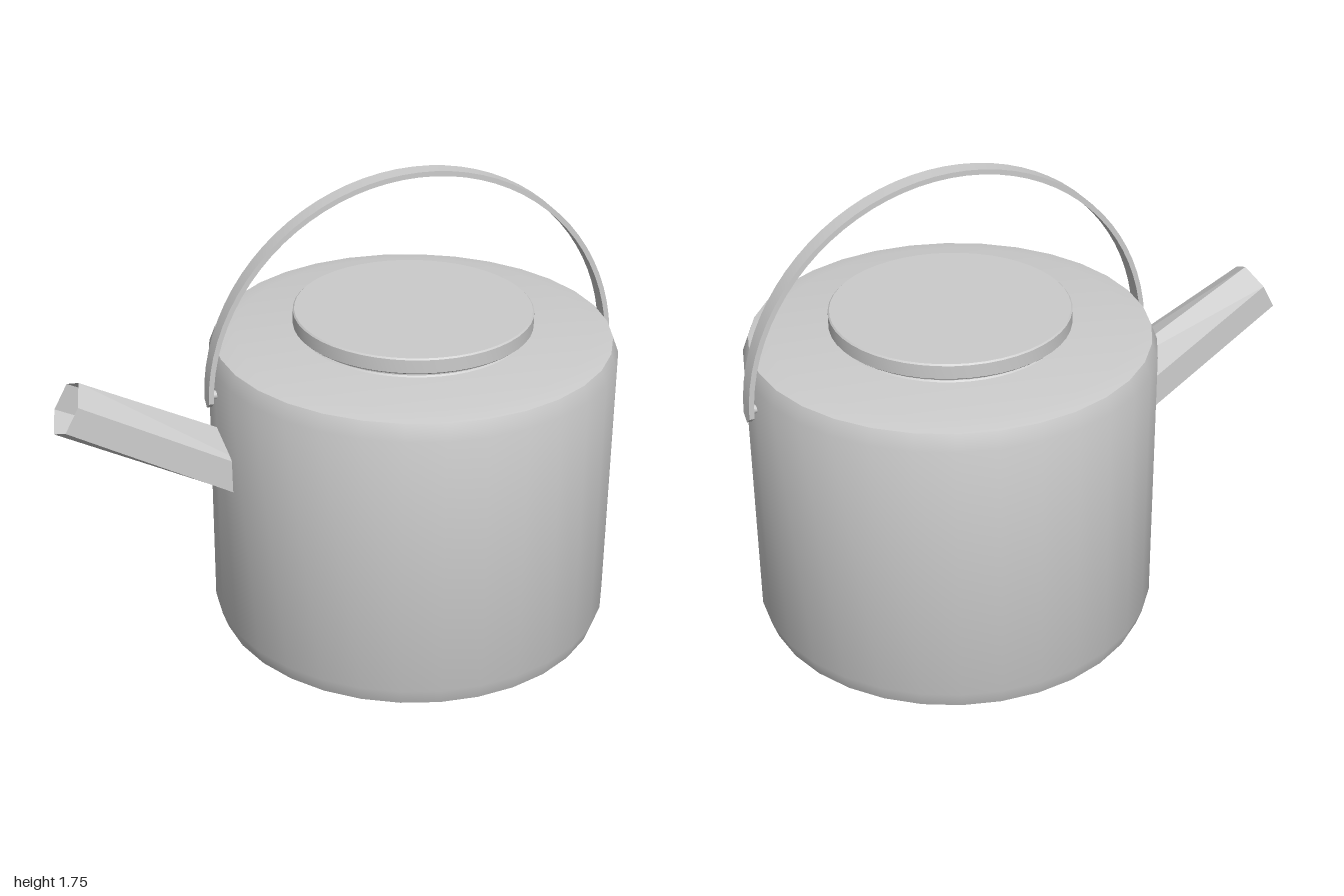
import * as THREE from 'three';
import { toCreasedNormals } from 'three/addons/utils/BufferGeometryUtils.js';

const grey = new THREE.MeshStandardMaterial({ color: 0xcccccc });
const greyFlat = new THREE.MeshStandardMaterial({ color: 0xcccccc, flatShading: true, side: THREE.DoubleSide });

function add(parent, name, geometry, material = grey) {
  const mesh = new THREE.Mesh(geometry, material);
  mesh.name = name;
  parent.add(mesh);
  return mesh;
}

// Turned part from [radius, height] pairs, bottom to top
function turned(profile, sides) {
  const pts = profile.map(([r, y]) => new THREE.Vector2(r, y));
  return toCreasedNormals(new THREE.LatheGeometry(pts, sides), 0.6);
}

// Flat strap with pointed ends, bent into a half circle
function strap(radius, thickness, width, springY) {
  const length = Math.PI * radius;
  const g = new THREE.BoxGeometry(length, thickness, width, 40, 1, 2);
  const p = g.attributes.position;
  for (let i = 0; i < p.count; i++) {
    let s = p.getX(i);
    if (Math.abs(s) > length / 2 - 1e-4 && Math.abs(p.getZ(i)) < 1e-4) s += Math.sign(s) * 0.025;
    const a = s / radius, r = radius + p.getY(i);
    p.setXY(i, Math.sin(a) * r, springY + Math.cos(a) * r);
  }
  return toCreasedNormals(g, 0.6);
}

// Open tapered six-sided tube; each section is { x, y, halfWidth, halfHeight }
function hexTube(sections, tilt) {
  const pos = [], index = [];
  for (const s of sections) {
    const w = s.halfWidth, h = s.halfHeight;
    for (const [z, v] of [[0, h], [w, h / 2], [w, -h / 2], [0, -h], [-w, -h / 2], [-w, h / 2]]) {
      pos.push(s.x + Math.sin(tilt) * v, s.y + Math.cos(tilt) * v, z);
    }
  }
  for (let i = 0; i < 6; i++) {
    const j = (i + 1) % 6;
    index.push(i, i + 6, j, j, i + 6, j + 6);
  }
  const g = new THREE.BufferGeometry();
  g.setAttribute('position', new THREE.Float32BufferAttribute(pos, 3));
  g.setIndex(index);
  g.computeVertexNormals();
  return g;
}

export function createModel() {
  const model = new THREE.Group();
  model.name = 'kettle';

  // Everything is built around the body's axis, then turned a little
  const kettle = new THREE.Group();
  kettle.name = 'kettleParts';
  kettle.position.x = 0.255;
  kettle.rotation.y = 0.215;
  model.add(kettle);

  add(kettle, 'footRing', turned([[0, 0], [0.47, 0], [0.478, 0.01], [0.48, 0.035], [0.495, 0.05], [0.51, 0.062]], 48));

  add(kettle, 'body', turned([
    [0, 0.06], [0.63, 0.06], [0.692, 0.075], [0.713, 0.135],
    [0.713, 1.095], [0.692, 1.15], [0.62, 1.165], [0, 1.165],
  ], 32));

  add(kettle, 'lid', turned([
    [0.395, 1.16], [0.385, 1.17], [0.385, 1.185], [0.41, 1.187],
    [0.417, 1.193], [0.417, 1.24], [0.412, 1.245], [0, 1.245],
  ], 48));

  add(kettle, 'handle', strap(0.737, 0.018, 0.06, 1.0));

  // Small pins joining the handle ends to the body
  for (const side of [-1, 1]) {
    const pin = add(kettle, 'handlePin', new THREE.CylinderGeometry(0.015, 0.015, 0.04, 12));
    pin.rotation.z = Math.PI / 2;
    pin.position.set(side * 0.715, 1.02, 0);
  }

  add(kettle, 'spout', hexTube([
    { x: -0.6, y: 0.717, halfWidth: 0.147, halfHeight: 0.105 },
    { x: -1.227, y: 1.05, halfWidth: 0.093, halfHeight: 0.1 },
  ], 0.49), greyFlat);

  return model;
}
